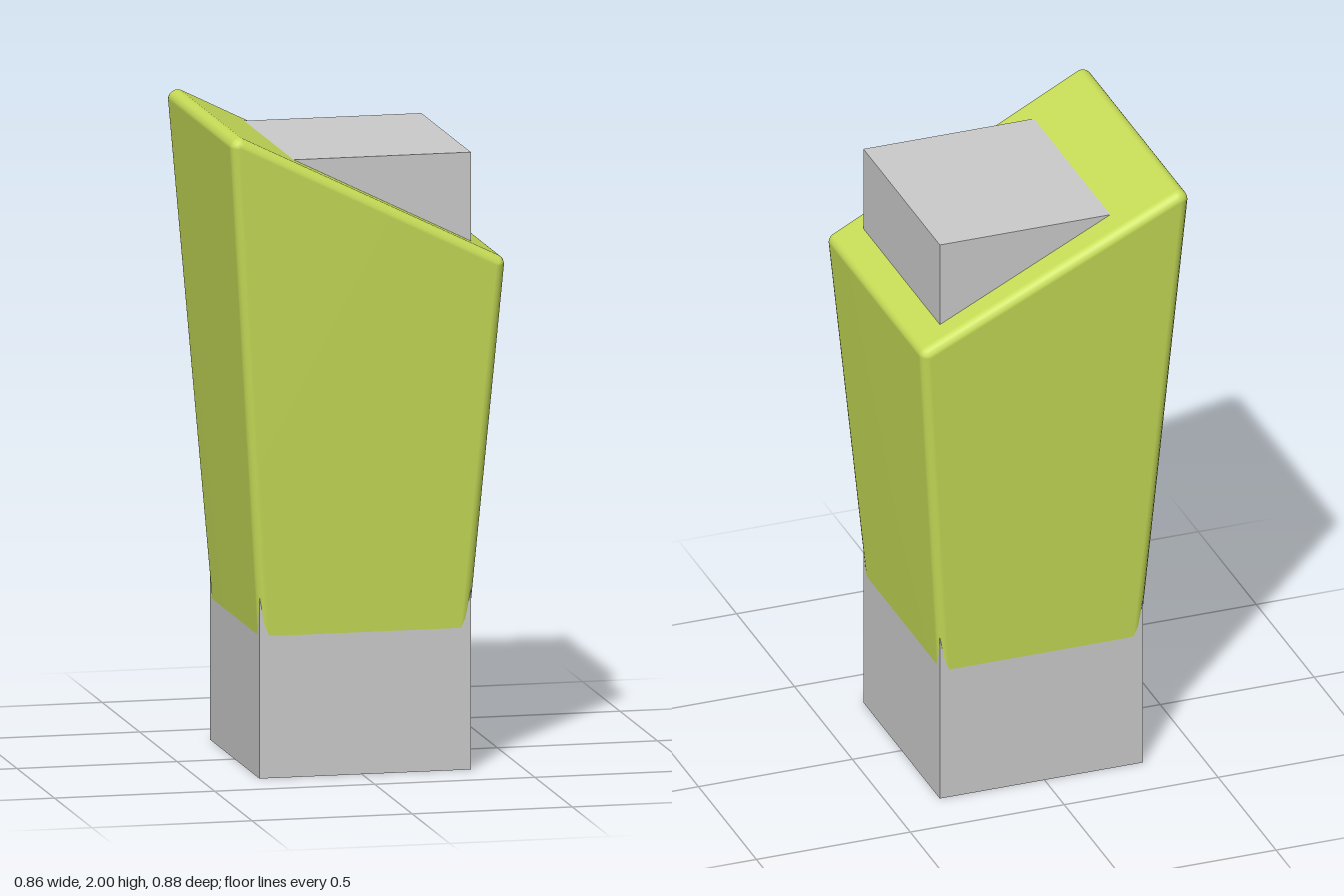
import * as THREE from 'three';
import { mergeVertices } from 'three/addons/utils/BufferGeometryUtils.js';
import { ConvexGeometry } from 'three/addons/geometries/ConvexGeometry.js';

// Solid with softly rounded edges: the hull of a small sphere at every corner.
function roundedHull(corners, radius) {
  const points = [];
  for (const [x, y, z] of corners) {
    const ball = new THREE.SphereGeometry(radius, 16, 12);
    const pos = mergeVertices(ball.deleteAttribute('uv').deleteAttribute('normal')).attributes.position;
    for (let i = 0; i < pos.count; i++) {
      points.push(new THREE.Vector3().fromBufferAttribute(pos, i).add(new THREE.Vector3(x, y, z)));
    }
  }
  const hull = new ConvexGeometry(points);
  hull.deleteAttribute('normal');
  const smooth = mergeVertices(hull, 1e-5);
  smooth.computeVertexNormals();
  return smooth;
}

export function createModel() {
  const model = new THREE.Group();
  model.name = 'slantedBlock';

  // square post running through the sleeve
  const post = new THREE.Mesh(
    new THREE.BoxGeometry(0.66, 1.91, 0.66),
    new THREE.MeshStandardMaterial({ color: 0xcccccc })
  );
  post.name = 'post';
  post.position.set(0.01, 0.955, 0);
  model.add(post);

  // flared sleeve with a slanted top; corners mirrored front to back
  const profile = [
    [-0.287, 0.4, 0.297],
    [0.306, 0.4, 0.297],
    [0.4, 1.572, 0.386],
    [-0.402, 1.97, 0.41],
  ];
  const corners = profile.flatMap(([x, y, z]) => [[x, y, z], [x, y, -z]]);
  const sleeve = new THREE.Mesh(
    roundedHull(corners, 0.03),
    new THREE.MeshStandardMaterial({ color: 0xc8de58 })
  );
  sleeve.name = 'sleeve';
  model.add(sleeve);

  return model;
}
